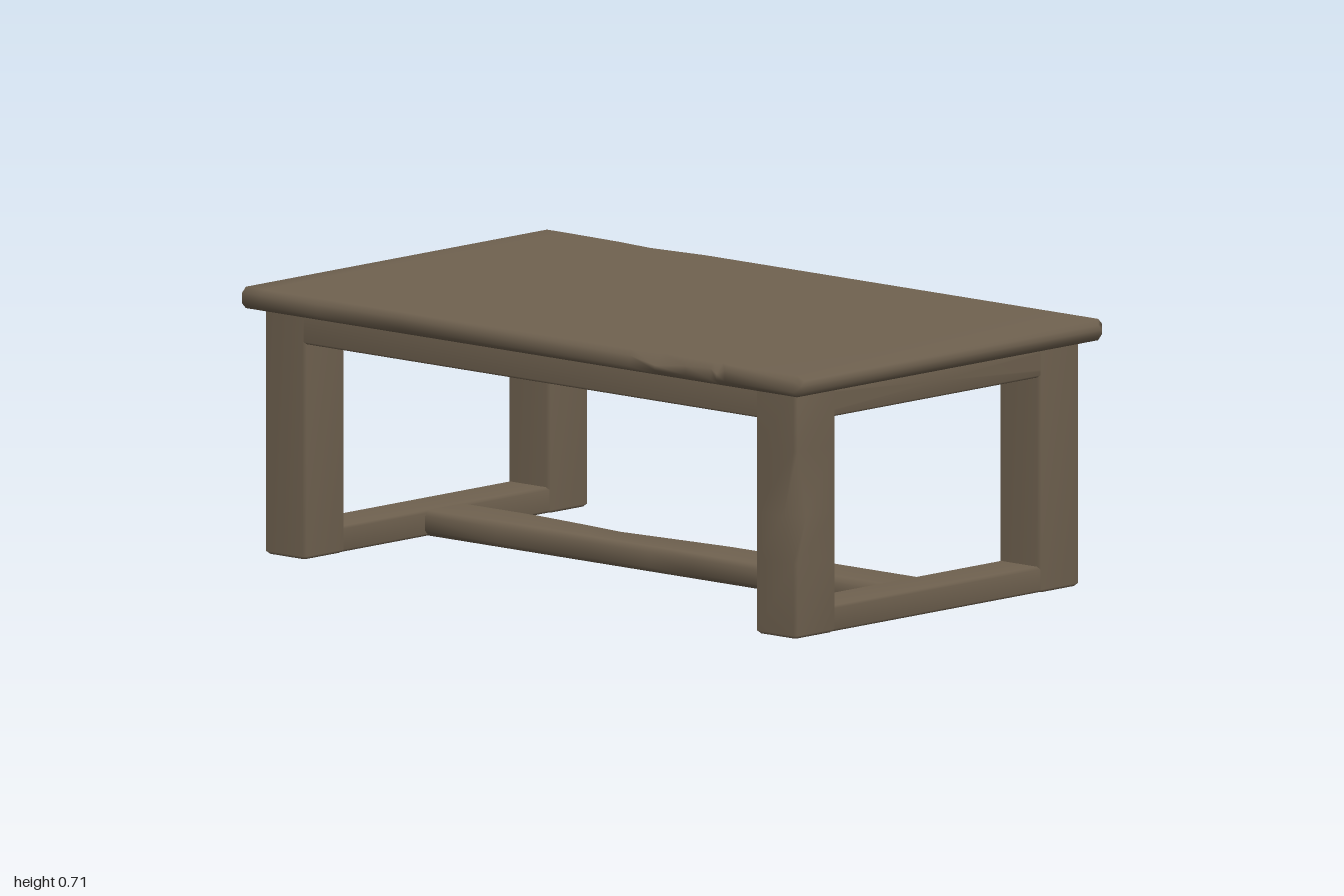
import * as THREE from 'three';

const AXES = { x: [0, 1, 2], y: [1, 2, 0], z: [2, 0, 1] };
const CORNERS = [[1, 1], [-1, 1], [-1, -1], [1, -1]];

// Eight-sided ring: a rectangle with cut corners; chips widens single corners.
function ring(hu, hv, bevel, chips) {
  return CORNERS.flatMap(([su, sv], i) => {
    const b = chips[i] ?? bevel;
    const pair = [[su * hu, sv * (hv - b)], [su * (hu - b), sv * hv]];
    return su * sv > 0 ? pair : pair.reverse();
  });
}

// Worn beam along an axis, from min to max; chips are [position, {corner: cut}].
function beam(name, material, axis, min, max, bevel, chips = []) {
  const [t, u, v] = AXES[axis];
  const mid = min.map((m, i) => (m + max[i]) / 2);
  const hu = (max[u] - min[u]) / 2, hv = (max[v] - min[v]) / 2;
  const sections = [
    [min[t], {}, bevel], [min[t] + bevel, {}, 0],
    ...chips.map(([p, cut]) => [p, cut, 0]),
    [max[t] - bevel, {}, 0], [max[t], {}, bevel],
  ];
  const positions = [], index = [];
  const add = (pt, pu, pv) => {
    const p = [0, 0, 0];
    p[t] = pt; p[u] = mid[u] + pu; p[v] = mid[v] + pv;
    positions.push(...p);
  };
  for (const [pt, cut, inset] of sections) {
    for (const [a, b] of ring(hu - inset, hv - inset, bevel, cut)) add(pt, a, b);
  }
  const last = (sections.length - 1) * 8, c0 = last + 8, c1 = c0 + 1;
  add(min[t], 0, 0);
  add(max[t], 0, 0);
  for (let k = 0; k < 8; k++) {
    const n = (k + 1) % 8;
    for (let r = 0; r < last; r += 8) {
      index.push(r + k, r + n, r + 8 + n, r + k, r + 8 + n, r + 8 + k);
    }
    index.push(c0, n, k, c1, last + k, last + n);
  }
  const geometry = new THREE.BufferGeometry();
  geometry.setAttribute('position', new THREE.Float32BufferAttribute(positions, 3));
  geometry.setIndex(index);
  geometry.computeVertexNormals();
  const mesh = new THREE.Mesh(geometry, material);
  mesh.name = name;
  return mesh;
}

export function createModel() {
  const table = new THREE.Group();
  table.name = 'woodenTable';
  const wood = new THREE.MeshStandardMaterial({ color: 0x706250 });
  wood.name = 'brown wood';

  // Table top with chipped long edges
  table.add(beam('tableTop', wood, 'x', [-1, 0.655, -0.597], [1, 0.712, 0.597], 0.014, [
    [-0.92, {}], [-0.72, { 3: 0.02 }], [-0.6, { 3: 0.032 }], [-0.42, { 3: 0.014 }],
    [0.4, {}], [0.49, { 0: 0.03 }], [0.6, { 0: 0.018 }], [0.69, {}],
    [0.71, { 0: 0.026 }], [0.74, {}],
  ]));

  // Apron block under the top
  table.add(beam('apron', wood, 'x', [-0.949, 0.575, -0.549], [0.949, 0.66, 0.549], 0.006));

  for (const sx of [-1, 1]) {
    const span = (a, b) => (sx > 0 ? [a, b] : [-b, -a]);
    // Legs; one has a deep chip on its outer corner
    for (const sz of [-1, 1]) {
      const [x0, x1] = span(0.805, 0.951);
      const [z0, z1] = sz > 0 ? [0.393, 0.551] : [-0.551, -0.393];
      const chips = sx > 0 && sz > 0 ? [[0.2, {}], [0.325, { 0: 0.042 }], [0.5, {}]] : [];
      table.add(beam('leg', wood, 'y', [x0, 0, z0], [x1, 0.66, z1], 0.008, chips));
    }
    // Low rail joining each pair of legs
    const [r0, r1] = span(0.807, 0.949);
    table.add(beam('sideRail', wood, 'z', [r0, 0.001, -0.52], [r1, 0.07, 0.52], 0.007));
  }

  // Long stretcher with a worn back edge
  table.add(beam('stretcher', wood, 'x', [-0.85, 0.002, -0.082], [0.85, 0.0695, 0.082], 0.014, [
    [-0.55, {}], [-0.38, { 3: 0.028 }], [-0.22, { 3: 0.045 }], [0, { 3: 0.026 }], [0.15, {}],
  ]));
  return table;
}
